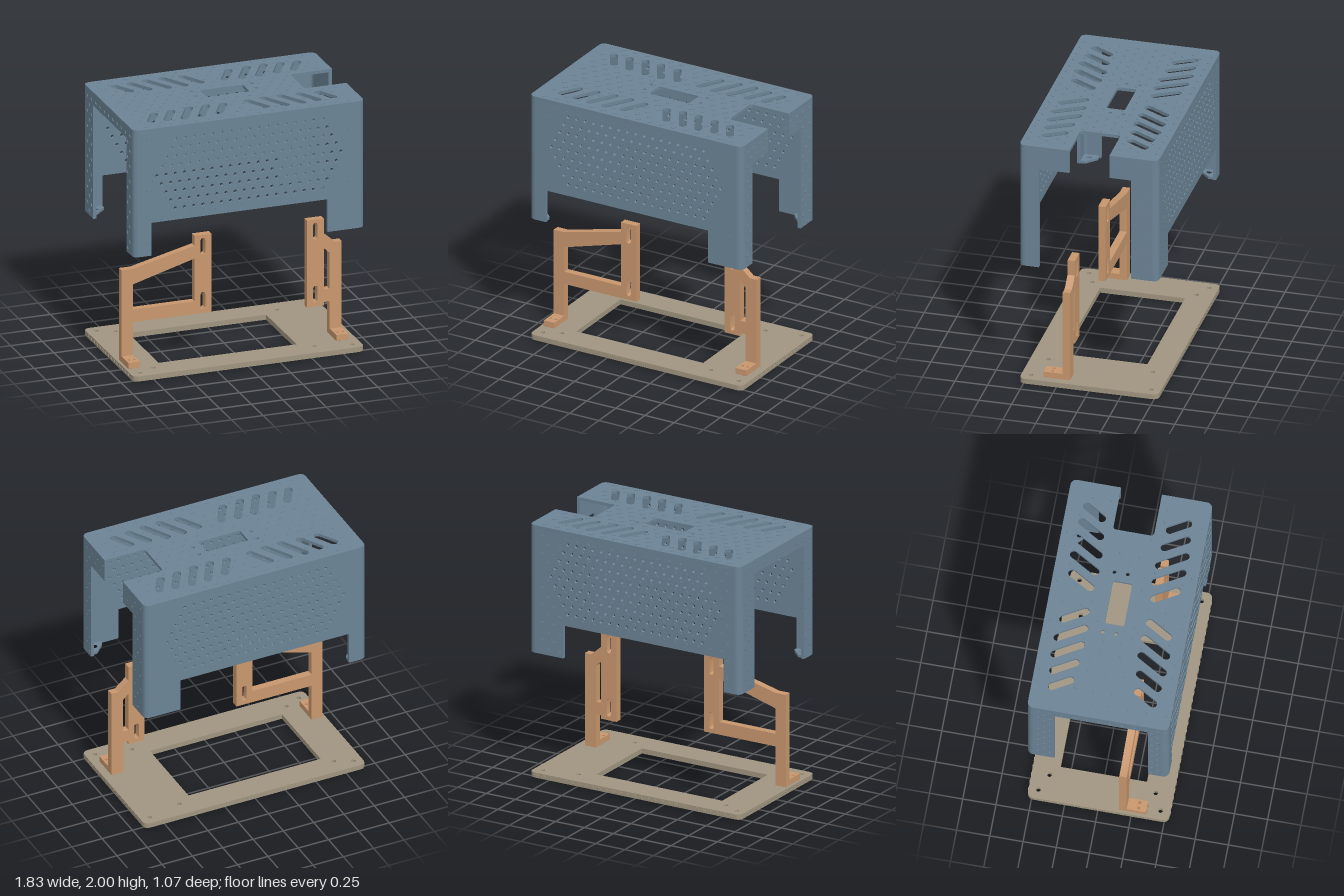
import * as THREE from 'three';
import { mergeGeometries, toCreasedNormals } from 'three/addons/utils/BufferGeometryUtils.js';

const HX = 0.9125, HZ = 0.533, R = 0.05, T = 0.025; // half width, half depth, corner radius, sheet thickness
const TOP = 1.996, BOT = 0.99;

const mat = (name, color) => Object.assign(new THREE.MeshStandardMaterial({ color }), { name });

// Closed outline from [x, y, cornerRadius] points
function outline(pts, ShapeType = THREE.Shape) {
  const s = new ShapeType(), n = pts.length;
  pts.forEach(([x, y, r = 0], i) => {
    const toward = ([px, py]) => {
      const d = Math.hypot(px - x, py - y);
      return [x + (px - x) * r / d, y + (py - y) * r / d];
    };
    const a = toward(pts[(i + n - 1) % n]), b = toward(pts[(i + 1) % n]);
    if (i === 0) s.moveTo(...a); else s.lineTo(...a);
    if (r) s.quadraticCurveTo(x, y, ...b);
  });
  s.closePath();
  return s;
}
const box = (x0, y0, x1, y1, r = 0) => [[x0, y0, r], [x1, y0, r], [x1, y1, r], [x0, y1, r]];
const cut = (shape, pts) => shape.holes.push(outline(pts, THREE.Path));
function cutCircle(shape, x, y, r) {
  const p = new THREE.Path();
  p.absarc(x, y, r, 0, Math.PI * 2, true);
  shape.holes.push(p);
}
// Round-ended slot; angle is measured from the x axis
function cutSlot(shape, x, y, length, width, angle) {
  const p = new THREE.Path(), h = (length - width) / 2, c = Math.cos(angle) * h, s = Math.sin(angle) * h;
  p.absarc(x + c, y + s, width / 2, angle - Math.PI / 2, angle + Math.PI / 2, false);
  p.absarc(x - c, y - s, width / 2, angle + Math.PI / 2, angle + Math.PI * 1.5, false);
  p.closePath();
  shape.holes.push(p);
}

// Ways to stand a flat drawing up: front (x, y), floor (x, -z), side (-z, y)
const TURN = {
  front: g => g,
  floor: g => g.rotateX(-Math.PI / 2),
  side: g => g.rotateY(Math.PI / 2),
};
function sheet(name, shape, depth, turn, pos, material) {
  let g = new THREE.ExtrudeGeometry(shape, { depth, bevelEnabled: false, curveSegments: 6 });
  g = toCreasedNormals(TURN[turn](g), 0.7);
  const m = new THREE.Mesh(g, material);
  m.name = name;
  m.position.set(...pos);
  return m;
}

// Small raised tread lugs
const TILT = 0.62, LONG = 0.018, WIDE = 0.007, RISE = 0.004;
function treads(name, spots, turn, pos, material) {
  const lug = new THREE.CylinderGeometry(1, 1, 2, 6).rotateX(Math.PI / 2).rotateZ(Math.PI / 6 - Math.PI / 6)
    .rotateZ(Math.PI / 2).scale(LONG, WIDE, RISE).rotateZ(TILT);
  const m = new THREE.Mesh(TURN[turn](mergeGeometries(spots.map(([u, v]) => lug.clone().translate(u, v, 0)))), material);
  m.name = name;
  m.position.set(...pos);
  return m;
}
function inside(poly, x, y) {
  let hit = false;
  for (let i = 0, j = poly.length - 1; i < poly.length; j = i++) {
    const a = poly[i], b = poly[j];
    if ((a.y > y) !== (b.y > y) && x < (b.x - a.x) * (y - a.y) / (b.y - a.y) + a.x) hit = !hit;
  }
  return hit;
}
// Staggered grid of lug positions that lie clear of a sheet's edges and holes
function spotsOn(shape, uMax, vStart, vEnd, du = 0.1, dv = 0.0688) {
  const edge = shape.getPoints(6), holes = shape.holes.map(h => h.getPoints(6)), out = [];
  const c = Math.cos(TILT), s = Math.sin(TILT);
  const tests = [[0, 0], [c, s], [-c, -s], [-s * 0.6, c * 0.6], [s * 0.6, -c * 0.6]].map(p => p.map(k => k * 0.023));
  for (let v = vStart, row = 0; v >= vEnd; v -= dv, row++) {
    const n = Math.ceil(uMax / du);
    for (let k = -n; k <= n; k++) {
      const u = (k + (row % 2) / 2) * du;
      if (Math.abs(u) > uMax) continue;
      if (tests.every(([a, b]) => inside(edge, u + a, v + b) && !holes.some(h => inside(h, u + a, v + b)))) out.push([u, v]);
    }
  }
  return out;
}

function buildCover(blue) {
  const g = new THREE.Group();
  g.name = 'cover';
  const wallTop = TOP - T, ex = HX - R, ez = HZ - R;

  // Top sheet with a cable notch, a window and angled vents
  const top = outline([[-HX, -HZ, R], [HX, -HZ, R], [HX, -0.148], [0.58, -0.148, 0.03],
    [0.58, 0.16, 0.03], [HX, 0.16], [HX, HZ, R], [-HX, HZ, R]]);
  cut(top, box(-0.16, -0.06, 0.18, 0.085, 0.015));
  for (const x of [-0.23, 0.25]) for (const y of [0.088, -0.012]) cutCircle(top, x, y, 0.015);
  const vents = [[0.14, 0.235], [0.28, 0.27], [0.413, 0.27], [0.55, 0.235], [0.684, 0.205]];
  for (const sx of [-1, 1]) for (const sy of [-1, 1])
    for (const [x, len] of vents) cutSlot(top, sx * x, sy * 0.318, len, 0.06, sx * sy * Math.PI / 3);
  g.add(sheet('topSheet', top, T, 'floor', [0, wallTop, 0], blue));
  g.add(treads('topTreads', spotsOn(top, 0.82, 0.49, -0.5, 0.1, 0.07), 'floor', [0, TOP, 0], blue));

  // Perforated front and back walls
  const wall = outline([[-ex, BOT], [-0.77, BOT], [-0.77, 1.25], [0.62, 1.25], [0.62, BOT],
    [ex, BOT], [ex, wallTop], [-ex, wallTop]]);
  for (let row = 0; row < 9; row++) {
    const n = 21 - Math.abs(row - 4);
    for (let i = 0; i < n; i++) cutCircle(wall, (i - (n - 1) / 2) * 0.0727, 1.893 - row * 0.0688, 0.0135);
  }
  const wallSpots = spotsOn(wall, 0.85, 1.927, 1.0);
  for (const [side, z] of [['front', HZ - T], ['back', -HZ]]) {
    g.add(sheet(side + 'Wall', wall, T, 'front', [0, 0, z], blue));
    g.add(treads(side + 'WallTreads', wallSpots, 'front', [0, 0, z > 0 ? HZ : -HZ], blue));
  }

  // End walls: notched on the left, a full-width arch on the right
  const ends = [
    ['leftFrontEnd', 1, [[-ez, BOT], [-0.38, BOT], [-0.38, 1.81], [-0.148, 1.81], [-0.148, wallTop], [-ez, wallTop]]],
    ['leftBackEnd', 1, [[0.16, 1.81], [0.325, 1.81], [0.325, BOT], [ez, BOT], [ez, wallTop], [0.16, wallTop]]],
    ['rightEnd', -1, [[-ez, BOT], [-0.38, BOT], [-0.38, 1.89], [0.325, 1.89], [0.325, BOT], [ez, BOT],
      [ez, wallTop], [-ez, wallTop]]],
  ];
  for (const [name, s, pts] of ends) {
    const shape = outline(pts);
    g.add(sheet(name, shape, T, 'side', [s > 0 ? HX - T : -HX, 0, 0], blue));
    g.add(treads(name + 'Treads', spotsOn(shape, 0.49, 1.927, 1.0, 0.09, 0.06), 'side', [s * HX, 0, 0], blue));
  }

  // Rounded corners and drilled feet
  for (const sx of [-1, 1]) for (const sz of [-1, 1]) {
    const p = (x, y) => [sx * x, sz * y];
    const c = new THREE.Shape();
    c.moveTo(...p(HX, ez));
    c.quadraticCurveTo(...p(HX, HZ), ...p(ex, HZ));
    c.lineTo(...p(ex, HZ - T));
    c.quadraticCurveTo(...p(HX - T, HZ - T), ...p(HX - T, ez));
    c.closePath();
    g.add(sheet('corner', c, wallTop - BOT, 'floor', [0, BOT, 0], blue));
    const foot = outline([[...p(HX - 0.012, HZ - 0.012), 0.035], p(HX - 0.14, HZ - 0.012),
      p(HX - 0.14, HZ - 0.06), p(HX - 0.06, HZ - 0.14), p(HX - 0.012, HZ - 0.14)]);
    cutCircle(foot, ...p(HX - 0.072, HZ - 0.072), 0.02);
    g.add(sheet('coverFoot', foot, 0.02, 'floor', [0, BOT + 0.001, 0], blue));
  }
  return g;
}

function buildBase(tan) {
  const g = new THREE.Group();
  g.name = 'base';
  const y0 = RISE, h = 0.04;
  const plate = outline(box(-HX, -HZ, HX, HZ, R));
  cut(plate, box(-0.635, -0.32, 0.455, 0.33));
  for (const s of [-1, 1]) {
    for (const x of [-0.84, 0.84]) cutCircle(plate, x, s * 0.46, 0.018);
    for (const x of [-0.71, 0.565]) cutCircle(plate, x, s * 0.4, 0.018);
  }
  for (const x of [-0.845, 0.803]) for (const d of [-0.022, 0.022]) cutSlot(plate, x + d, -0.3, 0.13, 0.018, Math.PI / 2);
  g.add(sheet('basePlate', plate, h, 'floor', [0, y0, 0], tan));
  g.add(treads('undersideTreads', spotsOn(plate, 0.87, 0.49, -0.5, 0.08, 0.05), 'floor', [0, y0, 0], tan));

  // Lugs along the rim
  const rim = (half, step) => Array.from({ length: 2 * Math.floor(half / step) + 1 },
    (_, i) => [(i - Math.floor(half / step)) * step, y0 + h / 2]);
  for (const s of [-1, 1]) {
    g.add(treads('rimTreads', rim(0.84, 0.06), 'front', [0, 0, s * HZ], tan));
    g.add(treads('endRimTreads', rim(0.46, 0.06), 'side', [s * HX, 0, 0], tan));
  }
  return g;
}

// Upright bracket with a slotted mounting plate and a drilled foot
function buildBracket(name, pts, window, slotX, slotYs, footX0, footX1, material) {
  const g = new THREE.Group();
  g.name = name;
  const frame = outline(pts);
  cut(frame, window);
  for (const y of slotYs) cutSlot(frame, slotX, y, 0.135, 0.036, Math.PI / 2);
  g.add(sheet('frame', frame, 0.056, 'front', [0, 0, 0.158], material));
  const foot = outline(box(footX0, -0.36, footX1, -0.214));
  for (const d of [-0.022, 0.022]) cutCircle(foot, (footX0 + footX1) / 2 + d, -0.3, 0.012);
  g.add(sheet('foot', foot, 0.046, 'floor', [0, 0.044, 0], material));
  return g;
}

export function createModel() {
  const blue = mat('slateBlue', 0x6c8496), tan = mat('warmGrey', 0xa09580), orange = mat('copperOrange', 0xc8976e);
  const model = new THREE.Group();
  model.name = 'enclosure';
  model.add(buildCover(blue), buildBase(tan));
  model.add(buildBracket('rightBracket',
    [[-0.89, 0.044], [-0.8, 0.044], [-0.8, 0.35], [-0.18, 0.35], [-0.18, 0.97], [-0.312, 0.97],
      [-0.312, 0.892], [-0.8, 0.773], [-0.89, 0.773]],
    [[-0.8, 0.45], [-0.312, 0.45], [-0.312, 0.79], [-0.8, 0.65]],
    -0.246, [0.877, 0.448], -0.89, -0.8, orange));
  model.add(buildBracket('leftBracket',
    [[0.755, 0.044], [0.85, 0.044], [0.85, 0.773], [0.795, 0.773], [0.71, 0.848], [0.71, 0.97],
      [0.577, 0.97], [0.577, 0.28], [0.71, 0.28], [0.71, 0.307], [0.755, 0.307]],
    [[0.71, 0.407], [0.755, 0.407], [0.755, 0.69], [0.71, 0.735]],
    0.643, [0.877, 0.377], 0.755, 0.85, orange));
  return model;
}
